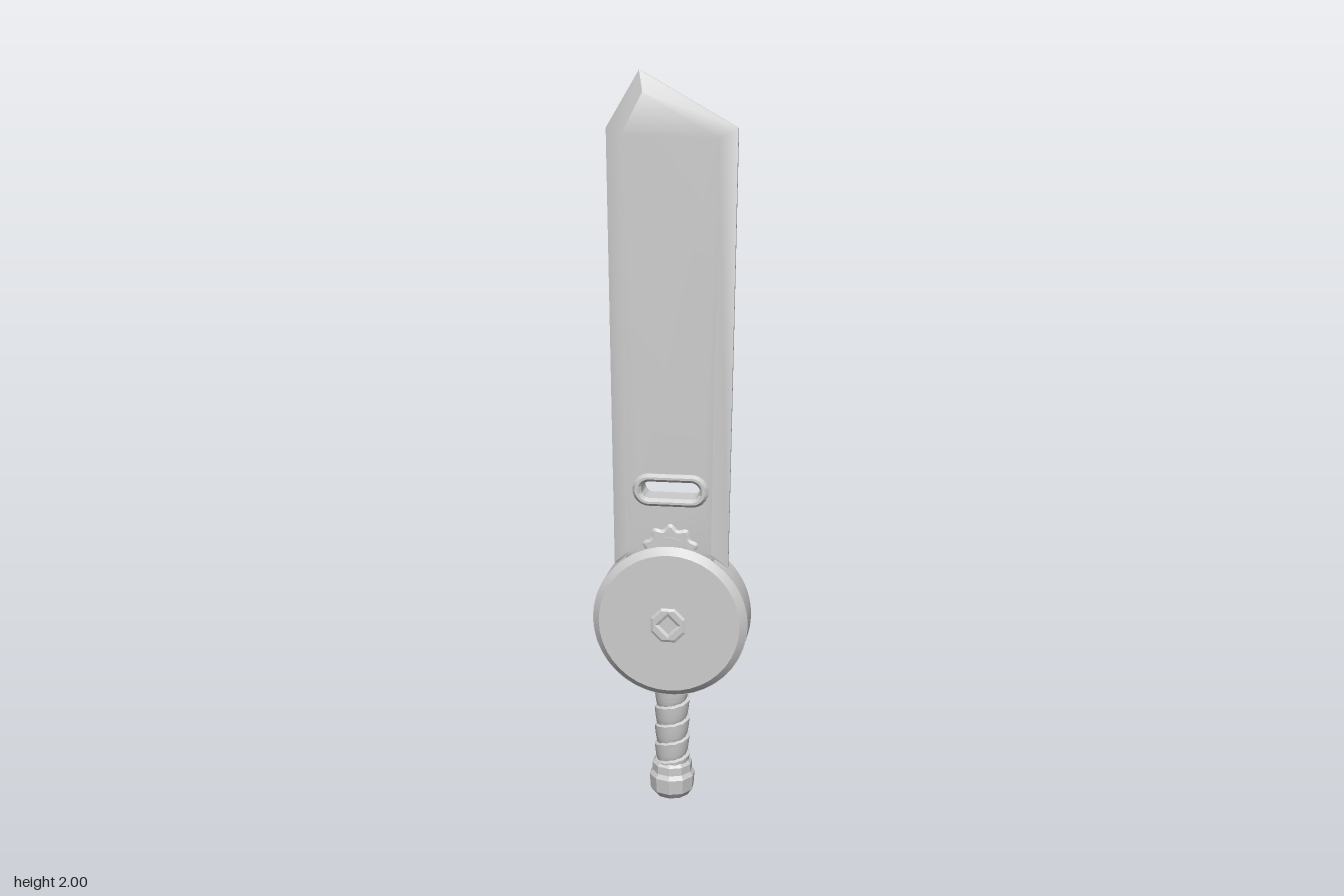
import * as THREE from 'three';
import { toCreasedNormals } from 'three/addons/utils/BufferGeometryUtils.js';

const steel = new THREE.MeshStandardMaterial({ color: 0xcccccc });
steel.name = 'steel grey';

function part(name, geometry, parent, crease = 0.5) {
  const mesh = new THREE.Mesh(toCreasedNormals(geometry, crease), steel);
  mesh.name = name;
  parent.add(mesh);
  return mesh;
}

// Bevelled slab centred on z = 0; the shape is its widest outline
function slab(shape, half, size, thick, curveSegments = 12) {
  const g = new THREE.ExtrudeGeometry(shape, {
    depth: 2 * (half - thick), bevelEnabled: size > 0, bevelSize: size,
    bevelThickness: thick, bevelOffset: -size, bevelSegments: 1, curveSegments,
  });
  return g.translate(0, 0, -(half - thick));
}

// Rounded slot outline
function stadium(Type, halfWidth, r, y = 0) {
  const s = new Type();
  const c = halfWidth - r;
  s.absarc(c, y, r, -Math.PI / 2, Math.PI / 2, false);
  s.absarc(-c, y, r, Math.PI / 2, Math.PI * 1.5, false);
  s.closePath();
  return s;
}

function polygon(Type, n, r, turn = 0) {
  const pts = [];
  for (let i = 0; i < n; i++) {
    const a = turn + (i / n) * Math.PI * 2;
    pts.push(new THREE.Vector2(Math.cos(a) * r, Math.sin(a) * r));
  }
  return new Type(pts);
}

// Blade: a flat face on each side, sloping to a blunt edge all round
function bladeGeometry() {
  const outer = [[-0.16, 0.68], [0.155, 0.68], [0.172, 1.855], [-0.085, 2], [-0.173, 1.855]];
  const inner = [[-0.116, 0.725], [0.111, 0.725], [0.127, 1.83], [-0.072, 1.945], [-0.128, 1.84]];
  const pos = [];
  const strip = (a, za, b, zb) => a.forEach((p, i) => {
    const j = (i + 1) % a.length;
    const A = [...p, za], B = [...a[j], za], C = [...b[j], zb], D = [...b[i], zb];
    pos.push(...A, ...B, ...C, ...A, ...C, ...D);
  });
  strip(outer, 0.007, inner, 0.033);
  strip(outer, -0.007, outer, 0.007);
  strip(inner, -0.033, outer, -0.007);
  const face = new THREE.Shape(inner.map(([x, y]) => new THREE.Vector2(x, y)));
  face.holes.push(stadium(THREE.Path, 0.09, 0.032, 0.9));
  const front = new THREE.ShapeGeometry(face).toNonIndexed();
  for (const turn of [1, -1]) {
    const p = front.attributes.position;
    for (let i = 0; i < p.count; i += 3) {
      for (const k of turn > 0 ? [0, 1, 2] : [0, 2, 1]) pos.push(p.getX(i + k), p.getY(i + k), 0.033 * turn);
    }
  }
  const g = new THREE.BufferGeometry();
  g.setAttribute('position', new THREE.Float32BufferAttribute(pos, 3));
  return g;
}

// Grip with a spiral wrap: the radius steps along a helix
function gripGeometry(y0, y1) {
  const g = new THREE.CylinderGeometry(1, 1, y1 - y0, 24, 64, true).translate(0, (y0 + y1) / 2, 0);
  const p = g.attributes.position;
  for (let i = 0; i < p.count; i++) {
    const y = p.getY(i);
    const a = Math.atan2(p.getX(i), p.getZ(i)) / (Math.PI * 2);
    const t = y / 0.055 - a + 10;
    const r = 0.04 + 0.01 * Math.sqrt(t - Math.floor(t));
    p.setX(i, p.getX(i) * r);
    p.setZ(i, p.getZ(i) * r);
  }
  return g;
}

function lathe(points, sides) {
  return new THREE.LatheGeometry(points.map(([r, y]) => new THREE.Vector2(r, y)), sides);
}

export function createModel() {
  const model = new THREE.Group();
  model.name = 'sword';

  // Blade with its tang reaching into the guard
  part('blade', bladeGeometry(), model, 0.7);
  part('tang', new THREE.BoxGeometry(0.22, 0.16, 0.05).translate(0, 0.66, 0), model);

  // Framed window through the blade
  const frame = stadium(THREE.Shape, 0.104, 0.045);
  frame.holes.push(stadium(THREE.Path, 0.08, 0.023));
  part('windowFrame', slab(frame, 0.045, 0.008, 0.01), model).position.y = 0.9;

  // Scalloped gear half hidden by the guard
  const gear = new THREE.Shape();
  for (let i = 0; i < 80; i++) {
    const a = (i / 80) * Math.PI * 2;
    const r = 0.074 + 0.007 * Math.cos(a * 10 - Math.PI);
    gear[i ? 'lineTo' : 'moveTo'](Math.cos(a) * r, Math.sin(a) * r);
  }
  part('gear', slab(gear, 0.038, 0.008, 0.005), model).position.y = 0.725;
  const gearHub = new THREE.CylinderGeometry(0.045, 0.045, 0.086, 20).rotateX(Math.PI / 2);
  part('gearHub', gearHub, model).position.y = 0.725;

  // Round guard: slotted core between two chamfered plates, a bolt on each side
  const guard = new THREE.Group();
  guard.name = 'guard';
  guard.position.y = 0.53;
  model.add(guard);
  const core = new THREE.Shape();
  const slot = Math.asin(0.12 / 0.215);
  core.absarc(0, 0, 0.215, Math.PI / 2 - slot, Math.PI / 2 + slot, true);
  core.lineTo(-0.12, 0.05);
  core.lineTo(0.12, 0.05);
  part('guardCore', slab(core, 0.047, 0, 0, 40), guard);
  for (const side of [1, -1]) {
    const half = new THREE.Group();
    half.name = side > 0 ? 'frontPlate' : 'backPlate';
    half.rotation.y = side > 0 ? 0 : Math.PI;
    guard.add(half);
    const plate = lathe([[0, 0.046], [0.215, 0.046], [0.195, 0.066], [0, 0.066]], 40);
    part('plate', plate.rotateX(Math.PI / 2), half);
    const bolt = polygon(THREE.Shape, 8, 0.052, Math.PI / 8);
    bolt.holes.push(polygon(THREE.Path, 4, 0.026));
    const boltGeometry = slab(bolt, 0.0045, 0.007, 0.004);
    part('bolt', boltGeometry, half, 0.3).position.z = 0.0765;
  }

  // Handle
  part('grip', gripGeometry(0.08, 0.35), model, 0.6);
  part('pommel', lathe([
    [0, 0], [0.048, 0], [0.062, 0.018], [0.065, 0.06], [0.057, 0.072],
    [0.057, 0.095], [0.048, 0.105], [0, 0.105],
  ], 10), model, 0.3);

  return model;
}
